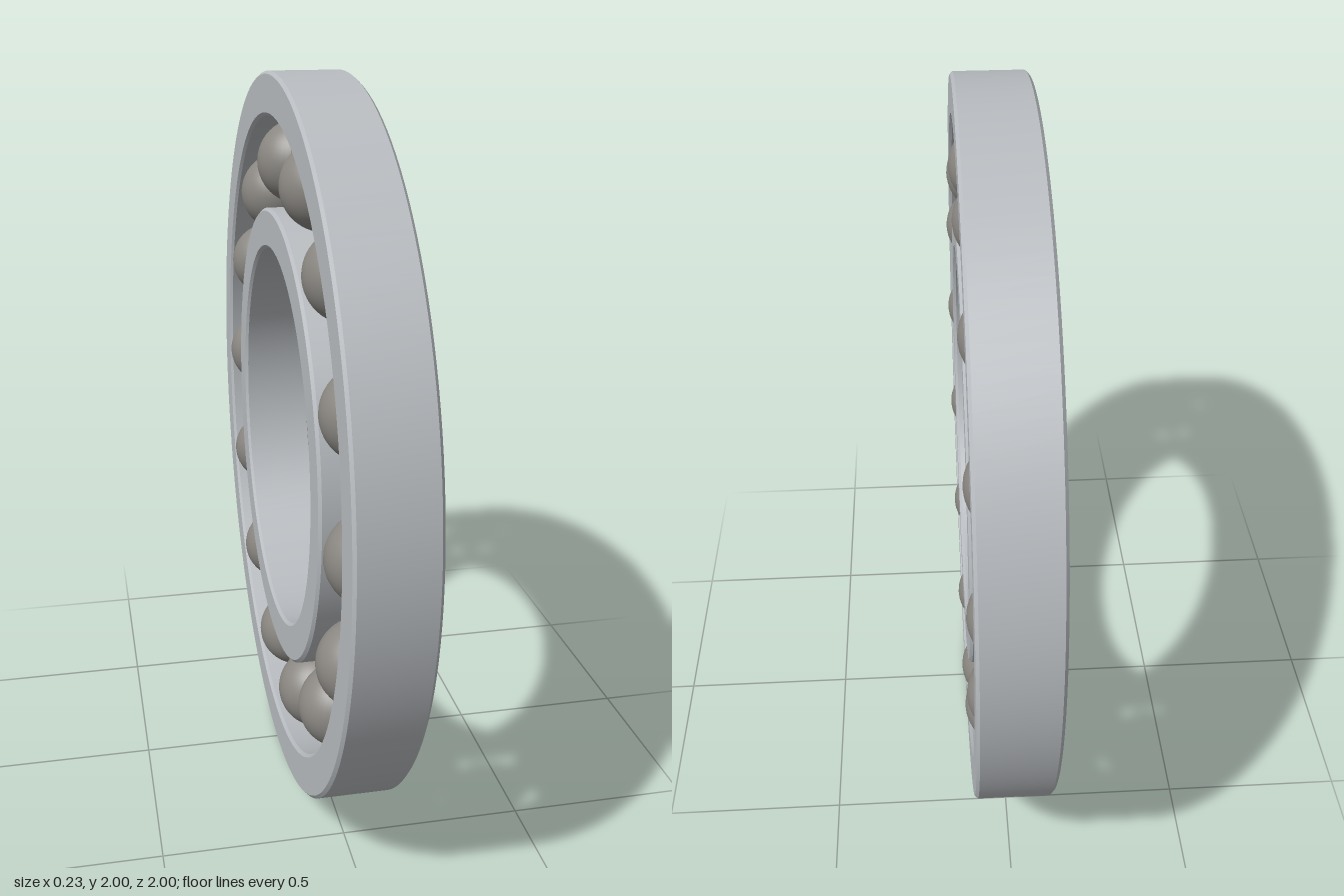
import * as THREE from 'three';
import { toCreasedNormals } from 'three/addons/utils/BufferGeometryUtils.js';

const BALLS = 14, PITCH = 0.763, BALL_R = 0.115;

// Ring about the x axis with a rectangular section and small chamfered edges
function ringGeometry(inner, outer, halfWidth, c) {
  const profile = [
    [inner + c, -halfWidth], [outer - c, -halfWidth],
    [outer, -halfWidth + c], [outer, halfWidth - c],
    [outer - c, halfWidth], [inner + c, halfWidth],
    [inner, halfWidth - c], [inner, -halfWidth + c],
    [inner + c, -halfWidth],
  ].map(([r, y]) => new THREE.Vector2(r, y));
  const geometry = new THREE.LatheGeometry(profile, 128);
  geometry.rotateZ(Math.PI / 2);
  return toCreasedNormals(geometry, 0.5);
}

export function createModel() {
  const steel = new THREE.MeshStandardMaterial({ name: 'ring steel', color: 0xb8bcc0 });
  const ballSteel = new THREE.MeshStandardMaterial({ name: 'ball steel', color: 0x8a8782 });
  const brass = new THREE.MeshStandardMaterial({ name: 'cage brass', color: 0xb3966b });

  const model = new THREE.Group();
  model.name = 'ballBearing';
  const add = (name, geometry, material, y = 1, z = 0) => {
    const mesh = new THREE.Mesh(geometry, material);
    mesh.name = name;
    mesh.position.set(0, y, z);
    model.add(mesh);
  };

  // Races
  add('outerRing', ringGeometry(0.885, 1, 0.102, 0.008), steel);
  add('innerRing', ringGeometry(0.53, 0.64, 0.102, 0.008), steel);

  // Cage band running through the balls
  add('cage', ringGeometry(0.717, 0.807, 0.04, 0.001), brass);

  // Balls, evenly spaced with a slight offset from horizontal
  const ball = new THREE.SphereGeometry(BALL_R, 40, 28);
  for (let i = 0; i < BALLS; i++) {
    const a = 0.042 + (i / BALLS) * Math.PI * 2;
    add('ball' + (i + 1), ball, ballSteel, 1 + PITCH * Math.sin(a), -PITCH * Math.cos(a));
  }
  return model;
}
